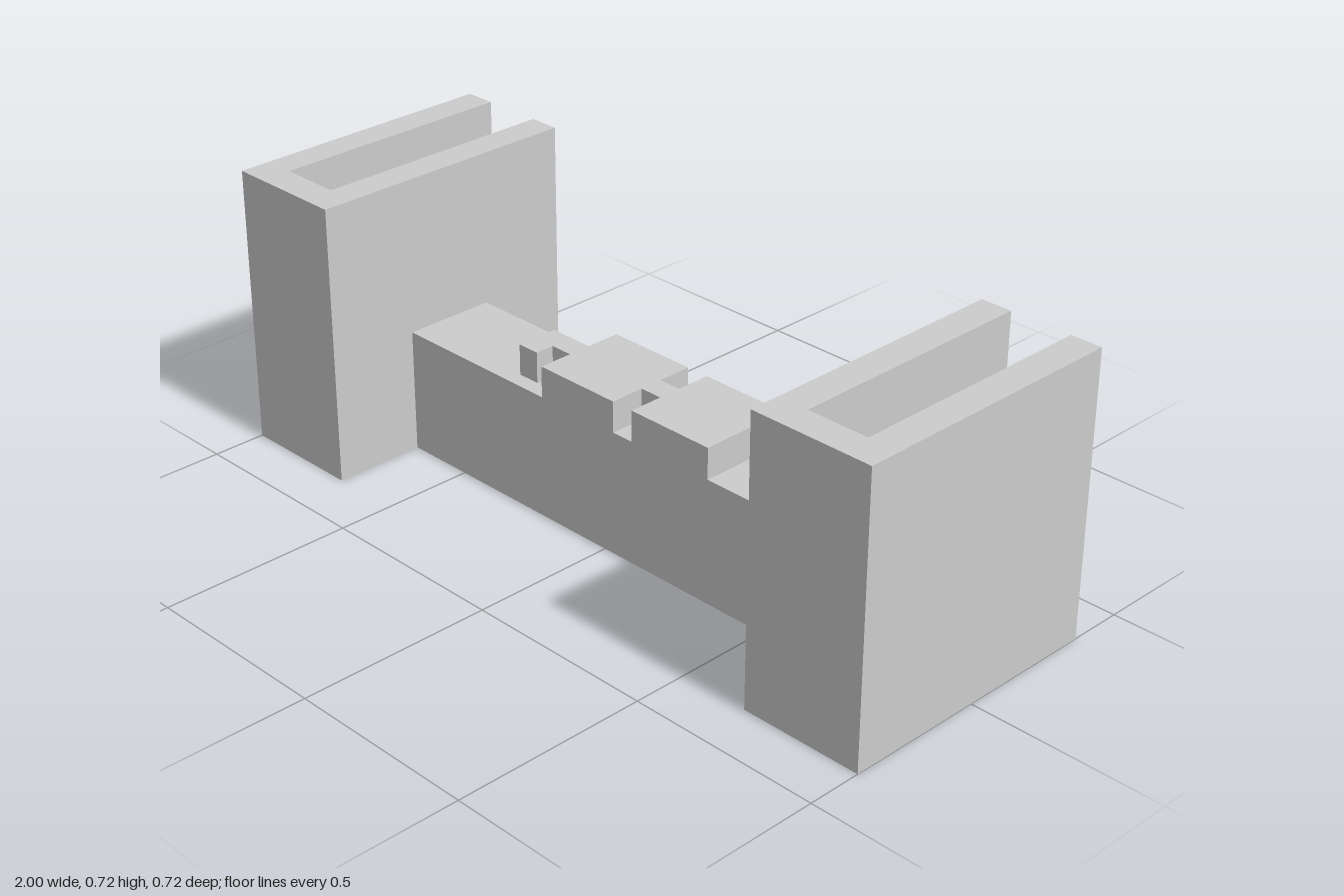
import * as THREE from 'three';

const material = new THREE.MeshStandardMaterial({ color: 0xcccccc, flatShading: true });

// Extrude a plan outline given as [x, z] points upward from y0 to y1
function prism(name, plan, y0, y1) {
  const shape = new THREE.Shape(plan.map(([x, z]) => new THREE.Vector2(x, -z)));
  const geometry = new THREE.ExtrudeGeometry(shape, { depth: y1 - y0, bevelEnabled: false });
  geometry.rotateX(-Math.PI / 2).translate(0, y0, 0);
  const mesh = new THREE.Mesh(geometry, material);
  mesh.name = name;
  return mesh;
}

export function createModel() {
  const model = new THREE.Group();
  model.name = 'connectorBracket';

  // U-shaped end channels, closed at the front and open at the back
  for (const [name, cx] of [['leftChannel', 0.84], ['rightChannel', -0.84]]) {
    const outer = 0.16, inner = 0.08, half = 0.36;
    const plan = [
      [-outer, half], [outer, half], [outer, -half], [inner, -half],
      [inner, 0.28], [-inner, 0.28], [-inner, -half], [-outer, -half],
    ].map(([x, z]) => [cx + x, z]);
    model.add(prism(name, plan, 0, 0.72));
  }

  // Cross beam joining the channels
  const beam = new THREE.Mesh(new THREE.BoxGeometry(1.36, 0.32, 0.24), material);
  beam.position.y = 0.16;
  beam.name = 'crossBeam';
  model.add(beam);

  // Raised key: notched block with a hooked end
  const key = [
    [0.33, 0.12], [0.33, -0.12],
    [0.09, -0.12], [0.09, -0.03], [0.03, -0.03], [0.03, -0.12], // back notch
    [-0.21, -0.12], [-0.21, -0.03],
    [-0.33, -0.03], [-0.33, 0.08], [-0.27, 0.08], [-0.27, 0.03], // hook
    [-0.21, 0.03], [-0.21, 0.12],
    [0.03, 0.12], [0.03, 0.03], [0.09, 0.03], [0.09, 0.12], // front notch
  ];
  model.add(prism('raisedKey', key, 0.32, 0.4));

  return model;
}
